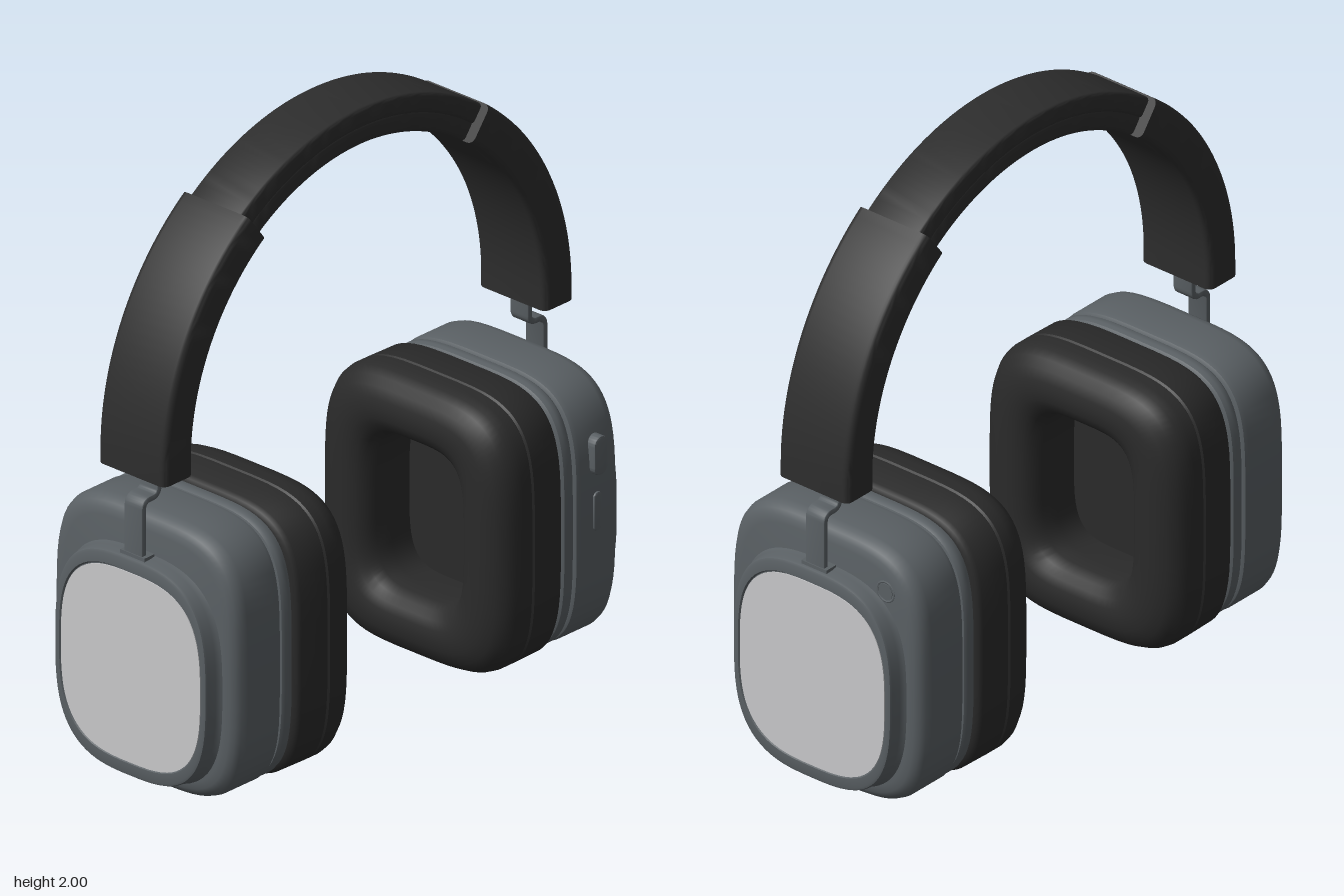
import * as THREE from 'three';
import { mergeVertices, toCreasedNormals } from 'three/addons/utils/BufferGeometryUtils.js';

const mat = (name, color) => {
  const m = new THREE.MeshStandardMaterial({ color });
  m.name = name;
  return m;
};

// Surface through closed rings of equal length, with both ends capped.
function skin(rings) {
  const collapse = (ring) => {
    const c = new THREE.Vector3();
    ring.forEach((p) => c.addScaledVector(p, 1 / ring.length));
    return ring.map(() => c);
  };
  const all = [collapse(rings[0]), ...rings, collapse(rings[rings.length - 1])];
  const pos = [];
  const tri = (a, b, c) => {
    if (a.distanceTo(b) < 1e-6 || b.distanceTo(c) < 1e-6 || a.distanceTo(c) < 1e-6) return;
    pos.push(...a.toArray(), ...b.toArray(), ...c.toArray());
  };
  for (let i = 0; i < all.length - 1; i++) {
    const n = all[i].length;
    for (let j = 0; j < n; j++) {
      const k = (j + 1) % n;
      tri(all[i][j], all[i + 1][j], all[i + 1][k]);
      tri(all[i][j], all[i + 1][k], all[i][k]);
    }
  }
  const g = new THREE.BufferGeometry();
  g.setAttribute('position', new THREE.Float32BufferAttribute(pos, 3));
  return g;
}

// Soft-square rings stacked along x; rows are [x, halfWidth, halfHeight].
function squircle(rows, cy, power) {
  const bend = (v) => Math.sign(v) * Math.abs(v) ** (2 / power);
  const steps = 72;
  return skin(rows.map(([x, hw, hh]) => Array.from({ length: steps }, (_, j) => {
    const t = ((j + 0.5) / steps) * Math.PI * 2;
    return new THREE.Vector3(x, cy + hh * bend(Math.sin(t)), hw * bend(Math.cos(t)));
  })));
}

// Rounded rectangle swept along a path in the xy plane.
function sweep(path, halfThick, halfWidth, r) {
  const section = [];
  [[1, 1], [1, -1], [-1, -1], [-1, 1]].forEach(([n, z], q) => {
    for (let s = 0; s <= 4; s++) {
      const a = (q + s / 4) * Math.PI / 2;
      section.push([n * (halfThick - r) + r * Math.sin(a), z * (halfWidth - r) + r * Math.cos(a)]);
    }
  });
  return skin(path.map((p, i) => {
    const t = path[Math.min(i + 1, path.length - 1)].clone().sub(path[Math.max(i - 1, 0)]).normalize();
    return section.map(([n, z]) => new THREE.Vector3(p.x - t.y * n, p.y + t.x * n, z));
  }));
}

function arc(radius, fromDeg, toDeg, steps, cx = 0, cy = 1.1) {
  return Array.from({ length: steps + 1 }, (_, i) => {
    const a = THREE.MathUtils.degToRad(fromDeg + (toDeg - fromDeg) * i / steps);
    return new THREE.Vector2(cx + radius * Math.cos(a), cy + radius * Math.sin(a));
  });
}

// Pill-shaped block facing +z.
function pill(width, height, depth) {
  const r = width / 2, h = height / 2 - r;
  const s = new THREE.Shape();
  s.absarc(0, h, r, 0, Math.PI);
  s.absarc(0, -h, r, Math.PI, Math.PI * 2);
  return new THREE.ExtrudeGeometry(s, {
    depth, curveSegments: 10, bevelThickness: 0.006, bevelSize: 0.006, bevelOffset: -0.006, bevelSegments: 2,
  });
}

// Flip a geometry to the other side of x and keep its faces outward.
function mirror(geo) {
  const g = geo.index ? geo.toNonIndexed() : geo.clone();
  const p = g.attributes.position;
  const a = new THREE.Vector3(), b = new THREE.Vector3();
  for (let i = 0; i < p.count; i += 3) {
    a.fromBufferAttribute(p, i + 1);
    b.fromBufferAttribute(p, i + 2);
    p.setXYZ(i + 1, b.x, b.y, b.z);
    p.setXYZ(i + 2, a.x, a.y, a.z);
  }
  return g.scale(-1, 1, 1);
}

export function createModel() {
  const model = new THREE.Group();
  model.name = 'headphones';
  const black = mat('matte black', 0x2d2d2d);
  const cushion = mat('cushion black', 0x2a2a2a);
  const grey = mat('slate grey', 0x5a6064);
  const silver = mat('silver', 0xc8c8ca);
  const dark = mat('port black', 0x1c1d1e);

  const add = (parent, name, geo, material, side = 1) => {
    let g = side < 0 ? mirror(geo) : geo.clone();
    g.deleteAttribute('normal');
    g.deleteAttribute('uv');
    g = toCreasedNormals(mergeVertices(g, 1e-5), 0.65);
    const m = new THREE.Mesh(g, material);
    m.name = name;
    parent.add(m);
  };

  // Cup layers, given as [x, inset from the widest outline]
  const inset = (rows) => rows.map(([x, d]) => [x, 0.393 - d, 0.46 - d]);
  const padGeo = squircle(inset([
    [0.53, 0.2], [0.44, 0.205], [0.38, 0.203], [0.345, 0.188], [0.325, 0.167], [0.313, 0.14],
    [0.31, 0.11], [0.314, 0.078], [0.328, 0.044], [0.35, 0.02], [0.38, 0.005], [0.41, 0],
    [0.446, 0], [0.452, 0.005], [0.458, 0], [0.57, 0.002], [0.583, 0.01], [0.589, 0.025], [0.59, 0.06],
  ]), 0.46, 4);
  const gasketGeo = squircle(inset([
    [0.585, 0.06], [0.593, 0.024], [0.602, 0.013], [0.615, 0.01], [0.632, 0.01], [0.642, 0.016], [0.647, 0.03], [0.648, 0.06],
  ]), 0.46, 4);
  const shellGeo = squircle(inset([
    [0.644, 0.06], [0.648, 0.022], [0.655, 0.012], [0.67, 0.008], [0.8, 0.008],
    [0.822, 0.013], [0.838, 0.024], [0.848, 0.04], [0.852, 0.062],
  ]), 0.46, 4);

  // Outer dish with a raised rim, and the plate set into it
  const dishGeo = squircle([
    [0.845, 0.335, 0.372], [0.856, 0.324, 0.37], [0.87, 0.317, 0.367], [0.9, 0.313, 0.365],
    [0.907, 0.31, 0.362], [0.91, 0.303, 0.355], [0.91, 0.292, 0.322], [0.904, 0.288, 0.318],
  ], 0.413, 3);
  const plateGeo = squircle([[0.902, 0.287, 0.317], [0.907, 0.287, 0.317]], 0.411, 3);

  // Bent flat bar joining cup and headband
  const armGeo = sweep([
    new THREE.Vector2(0.885, 0.74),
    ...arc(0.025, 0, 90, 5, 0.86, 0.945),
    ...arc(0.025, 270, 180, 5, 0.842, 0.995),
    new THREE.Vector2(0.817, 1.08),
  ], 0.01, 0.037, 0.004);
  const footGeo = new THREE.BoxGeometry(0.045, 0.025, 0.1).translate(0.876, 0.777, 0);

  // Headband sleeve
  const sleeveGeo = sweep([
    new THREE.Vector2(0.84, 1.055), ...arc(0.84, 0, 54, 24),
  ], 0.065, 0.138, 0.022);

  for (const side of [1, -1]) {
    const cup = new THREE.Group();
    cup.name = side > 0 ? 'leftCup' : 'rightCup';
    model.add(cup);
    add(cup, 'earPad', padGeo, cushion, side);
    add(cup, 'gasketRing', gasketGeo, grey, side);
    add(cup, 'cupShell', shellGeo, grey, side);
    add(cup, 'outerDish', dishGeo, grey, side);
    add(cup, 'outerPlate', plateGeo, silver, side);
    add(cup, 'hingeArm', armGeo, grey, side);
    add(cup, 'hingeFoot', footGeo, grey, side);
    add(model, 'headbandSleeve', sleeveGeo, black, side);
  }

  // Inner band and the cushion beneath it
  add(model, 'headband', sweep(arc(0.866, 48, 132, 48), 0.034, 0.108, 0.014), black);
  add(model, 'headbandCushion', sweep(arc(0.809, 41, 139, 48), 0.039, 0.103, 0.02), black);

  // Controls on the left cup
  const cup = model.getObjectByName('leftCup');
  add(cup, 'rockerButton', pill(0.06, 0.13, 0.035).translate(0.74, 0.675, 0.363), grey);
  add(cup, 'smallButton', pill(0.036, 0.13, 0.03).translate(0.74, 0.485, 0.355), grey);
  add(cup, 'roundButtonRing', new THREE.TorusGeometry(0.033, 0.005, 8, 32)
    .rotateY(Math.PI / 2).translate(0.849, 0.77, -0.245), grey);
  add(cup, 'roundButton', new THREE.CylinderGeometry(0.027, 0.027, 0.03, 32)
    .rotateZ(Math.PI / 2).translate(0.839, 0.77, -0.245), grey);
  add(cup, 'chargePort', new THREE.BoxGeometry(0.025, 0.006, 0.08).translate(0.75, 0.008, 0), dark);

  model.position.z = -0.006;
  return model;
}
